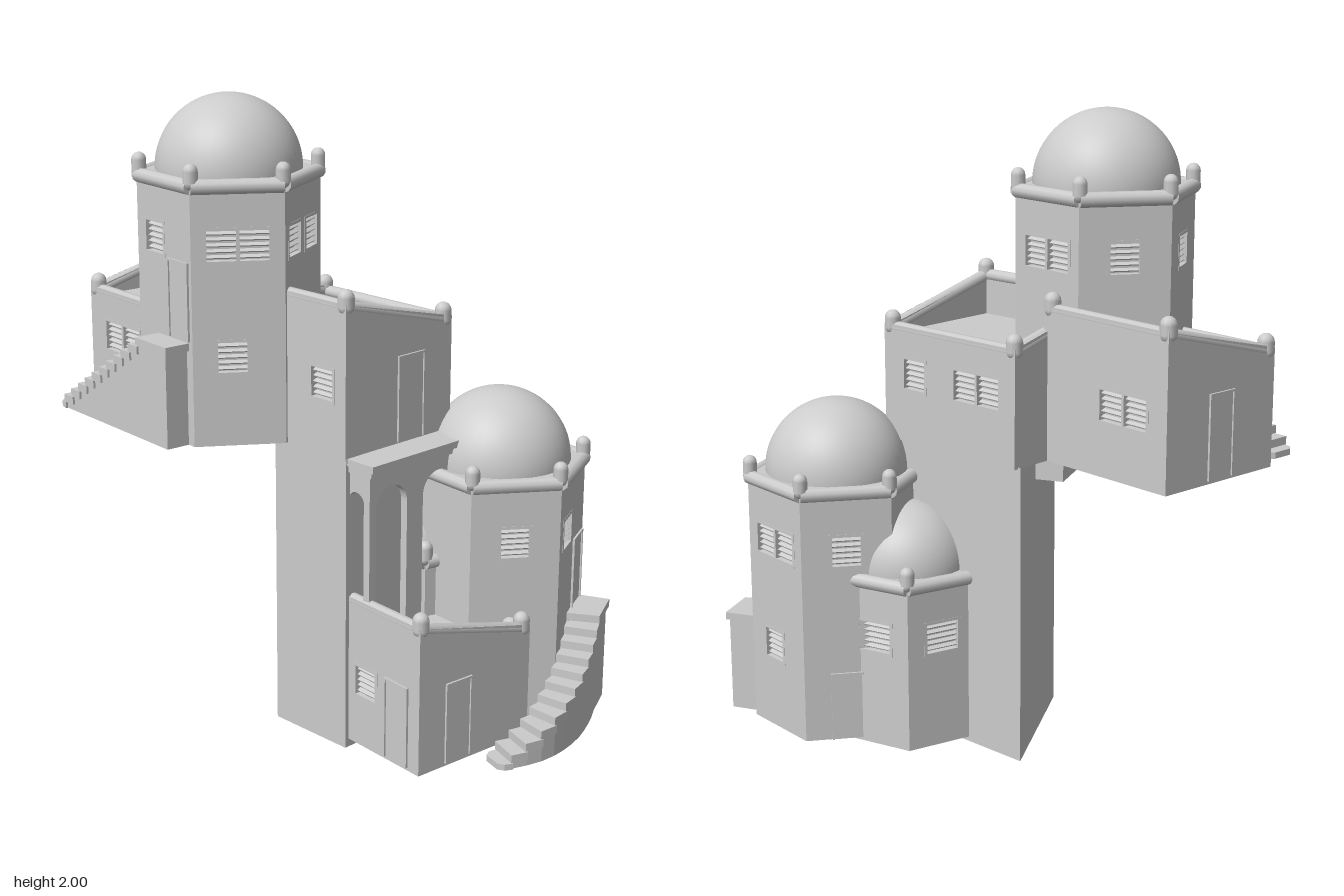
import * as THREE from 'three';

const mat = new THREE.MeshStandardMaterial({ color: 0xcccccc });
const open = new THREE.MeshStandardMaterial({ color: 0xcccccc, side: THREE.DoubleSide });
const rad = THREE.MathUtils.degToRad;
const shapeOf = points => new THREE.Shape(points.map(p => new THREE.Vector2(...p)));
const rect = (x, y, w, h) => [[x - w / 2, y - h / 2], [x + w / 2, y - h / 2], [x + w / 2, y + h / 2], [x - w / 2, y + h / 2]];
const extrude = (shape, depth) => new THREE.ExtrudeGeometry(shape, { depth, bevelEnabled: false, curveSegments: 10 });

function add(parent, name, geometry, x = 0, y = 0, z = 0, material = mat) {
  const m = new THREE.Mesh(geometry, material);
  m.name = name;
  m.position.set(x, y, z);
  parent.add(m);
  return m;
}
const box = (p, name, w, h, d, x, y, z) => add(p, name, new THREE.BoxGeometry(w, h, d), x, y, z);

function group(parent, name, x = 0, y = 0, z = 0, degrees = 0) {
  const g = new THREE.Group();
  g.name = name;
  g.position.set(x, y, z);
  g.rotation.y = rad(degrees);
  parent.add(g);
  return g;
}

// Rounded bar between two points
function rail(parent, a, b, r) {
  const from = new THREE.Vector3(...a), to = new THREE.Vector3(...b);
  const m = add(parent, 'parapetRail', new THREE.CylinderGeometry(r, r, from.distanceTo(to), 10));
  m.position.copy(from).add(to).multiplyScalar(0.5);
  m.quaternion.setFromUnitVectors(new THREE.Vector3(0, 1, 0), to.sub(from).normalize());
}
const post = (p, x, top, z, r, h) => add(p, 'parapetPost', new THREE.CapsuleGeometry(r, h - 2 * r, 4, 10), x, top - h / 2, z);

// Wall facing +z; each window [x, y, panes] is cut out and filled with a recessed, slatted frame
function panel(wall, outline, windows = [], w = 0.1, h = 0.1) {
  const shape = shapeOf(outline);
  for (const [x, y, panes = 1] of windows) {
    const full = w * panes;
    shape.holes.push(new THREE.Path(shapeOf(rect(x, y, full, h)).getPoints()));
    const g = group(wall, 'window', x, y, 0);
    const frame = shapeOf(rect(0, 0, full + 0.012, h + 0.012));
    for (let i = 0; i < panes; i++) {
      const px = (i - (panes - 1) / 2) * w;
      frame.holes.push(new THREE.Path(shapeOf(rect(px, 0, w - 0.01, h - 0.006)).getPoints()));
    }
    add(g, 'windowFrame', extrude(frame, 0.023), 0, 0, -0.022);
    add(g, 'windowBack', new THREE.PlaneGeometry(full, h), 0, 0, -0.022, open);
    for (let i = 0; i < 5; i++) {
      box(g, 'windowSlat', full, 0.004, 0.014, 0, (i - 2) * 0.018, -0.014).rotation.x = 0.5;
    }
  }
  add(wall, 'wall', new THREE.ShapeGeometry(shape), 0, 0, 0, open);
  return wall;
}

// Door standing on height y of a wall facing +z
function doorOn(wall, x, y, w = 0.1, h = 0.25) {
  const g = group(wall, 'door', x, y, 0);
  box(g, 'doorPanel', w, h, 0.004, 0, h / 2, 0);
  for (const s of [-1, 1]) box(g, 'doorJamb', 0.007, h, 0.014, s * w / 2, h / 2, 0);
  box(g, 'doorLintel', w + 0.007, 0.007, 0.014, 0, h, 0);
}

// Six-sided domed tower; windows[k] lists the windows of face k
function tower(parent, name, x, y, z, turn, R, h, domeR, windows, windowW) {
  const g = group(parent, name, x, y, z, turn);
  add(g, 'towerRoof', new THREE.CylinderGeometry(R, R, 0.035, 6), 0, h + 0.0175, 0);
  add(g, 'dome', new THREE.SphereGeometry(domeR, 40, 20, 0, Math.PI * 2, 0, Math.PI / 2), 0, h + 0.035, 0);
  const corner = (k, r) => [r * Math.sin(rad(60 * k)), h + 0.018, r * Math.cos(rad(60 * k))];
  return windows.map((list, k) => {
    rail(g, corner(k, R - 0.005), corner(k + 1, R - 0.005), 0.023);
    const [px, , pz] = corner(k, R - 0.008);
    post(g, px, h + 0.088, pz, 0.023, 0.08);
    const turned = group(g, 'towerFace', 0, 0, 0, -30 + 60 * k);
    return panel(group(turned, 'towerWall', 0, 0, R * 0.866), rect(0, h / 2, R, h), list, windowW);
  });
}

// House with its high wall on -z, walls sloping down to +z, flat roof inside
function house(parent, name, x, y, z, turn, w, d, highWindows, lowWindows) {
  const g = group(parent, name, x, y, z, turn);
  const high = 0.48, low = 0.37, t = 0.035, roof = low - 0.03;
  const wall = (wallName, px, pz, angle, len, left, right, windows) => {
    const f = group(g, wallName, px, 0, pz, angle);
    const outline = y0 => [[-len / 2, y0], [len / 2, y0], [len / 2, right], [-len / 2, left]];
    panel(f, outline(0), windows);
    add(f, 'parapet', extrude(shapeOf(outline(roof)), t - 0.001), 0, 0, -t);
    return f;
  };
  const walls = {
    high: wall('highWall', 0, -d / 2, 180, w, high, high, highWindows),
    low: wall('lowWall', 0, d / 2, 0, w, low, low, lowWindows),
    side: wall('doorWall', -w / 2, 0, -90, d, high, low),
  };
  wall('sideWall', w / 2, 0, 90, d, low, high);
  add(g, 'flatRoof', new THREE.PlaneGeometry(w, d).rotateX(-Math.PI / 2), 0, roof + 0.002, 0, open);
  // Rails and corner posts, flush with the walls
  const cx = w / 2 - 0.019, cz = d / 2 - 0.019;
  for (const s of [-1, 1]) {
    rail(g, [s * cx, high - 0.012, -cz], [s * cx, low - 0.012, cz], 0.02);
    post(g, s * cx, high + 0.043, -cz, 0.026, 0.08);
    post(g, s * cx, low + 0.043, cz, 0.026, 0.08);
  }
  rail(g, [-cx, high - 0.012, -cz], [cx, high - 0.012, -cz], 0.02);
  rail(g, [-cx, low - 0.012, cz], [cx, low - 0.012, cz], 0.02);
  return walls;
}

// Upright prism over a ground outline of [x, z] points
function prism(parent, name, outline, y0, y1) {
  const geo = extrude(shapeOf(outline.map(([x, z]) => [x, -z])), y1 - y0);
  return add(parent, name, geo.rotateX(-Math.PI / 2), 0, y0, 0);
}

// Solid staircase along a path, with a landing for its last part
function stairs(parent, name, path, width, y0, y1, steps, landing) {
  const g = group(parent, name);
  const curve = new THREE.CatmullRomCurve3(path.map(([x, z]) => new THREE.Vector3(x, 0, z)));
  const edge = (u, s) => {
    const p = curve.getPointAt(u), t = curve.getTangentAt(u);
    return [p.x - t.z * s * width / 2, p.z + t.x * s * width / 2];
  };
  const strip = (a, b, k) => [edge(a, -k), edge(b, -k), edge(b, k), edge(a, k)];
  // The first tread is longer and has a narrowed, rounded nose
  const start = 0.07, run = (1 - landing - start) / steps;
  prism(g, 'firstTread', [edge(0, -0.6), edge(0.025, -0.92), edge(start, -1), edge(start, 1), edge(0.025, 0.92), edge(0, 0.6)], y0, y0 + 0.02);
  for (let i = 0; i < steps; i++) {
    const a = start + i * run, b = a + run;
    const top = y0 + 0.02 + (y1 - y0 - 0.02) * (i + 1) / (steps + 1);
    prism(g, 'stairBody', strip(a, b, 0.87), y0, top - 0.015);
    prism(g, 'tread', strip(a - 0.012, b, 1), top - 0.026, top);
  }
  prism(g, 'landingBody', strip(1 - landing, 0.98, 0.87), y0, y1 - 0.015);
  prism(g, 'landing', strip(1 - landing - 0.012, 1, 1), y1 - 0.024, y1);
}

// Wall with round-arched openings, each given as [left, right]
function archedWall(x0, x1, y0, y1, spring, openings) {
  const shape = new THREE.Shape();
  shape.moveTo(x0, y0);
  for (const [a, b] of openings) {
    shape.lineTo(a, y0);
    shape.lineTo(a, spring);
    shape.absarc((a + b) / 2, spring, (b - a) / 2, Math.PI, 0, true);
    shape.lineTo(b, y0);
  }
  shape.lineTo(x1, y0);
  shape.lineTo(x1, y1);
  shape.lineTo(x0, y1);
  return extrude(shape, 0.025);
}

export function createModel() {
  const model = new THREE.Group();
  model.name = 'domedHouses';

  // Towers
  const row = 0.625, door = [-0.05, row], one = [[0, row]], wide = [0, row, 2], lowWindow = [-0.02, 0.28];
  const upper = tower(model, 'upperTower', -0.29, 0.95, 0.08, 0, 0.284, 0.785, 0.228,
    [[door], [wide, lowWindow], [[-0.066, row], [0.066, row]], [wide], one, one]);
  doorOn(upper[0], 0.075, 0.33, 0.1, 0.24);
  const lower = tower(model, 'lowerTower', 0.52, 0.025, -0.175, 120, 0.284, 0.795, 0.228,
    [[door], [wide, lowWindow], one, [], [], one]);
  doorOn(lower[0], 0.075, 0.33, 0.1, 0.24);
  doorOn(lower[2], 0, 0, 0.11, 0.22);
  tower(model, 'smallTower', 0.275, 0.015, -0.17, 20, 0.245, 0.52, 0.195, Array(6).fill([[0, 0.36]]), 0.12);

  // Upper side house
  const sideHouse = house(model, 'sideHouse', -0.517, 0.95, -0.12, -29, 0.515, 0.46, [[0.08, 0.22, 2]], [[-0.075, 0.22, 2]]);
  doorOn(sideHouse.side, 0, 0.01, 0.1, 0.26);

  // Middle house on a tall shaft
  const middle = house(model, 'middleHouse', 0.026, 0.95, -0.008, 155.5, 0.565, 0.46,
    [[0.18, 0.22]], [[0.12, 0.22, 2], [-0.15, 0.22]]);
  doorOn(middle.side, 0.05, 0.01, 0.11, 0.27);

  const shaft = group(model, 'shaft');
  const ring = [[-0.152, -0.327], [-0.095, 0.19], [0.19, 0.318], [0.364, -0.095]];
  ring.forEach(([x, z], i) => {
    const [x2, z2] = ring[(i + 1) % 4];
    const wall = group(shaft, 'shaftWall', (x + x2) / 2, 0, (z + z2) / 2);
    wall.rotation.y = -Math.atan2(z2 - z, x2 - x);
    panel(wall, rect(0, 0.478, Math.hypot(x2 - x, z2 - z), 0.956));
  });
  box(model, 'supportBeam', 0.09, 0.07, 0.2, -0.195, 0.915, -0.08);

  // Lower front house
  const front = house(model, 'frontHouse', 0.368, 0.028, 0.138, 151, 0.515, 0.46, [[0.01, 0.215]], []);
  doorOn(front.high, 0.155, 0.01, 0.1, 0.26);
  doorOn(front.side, -0.07, 0.01, 0.1, 0.26);

  // Balcony on arches
  const balcony = group(model, 'balcony', 0.27, 0, 0.103, 65.5);
  box(balcony, 'balconySlab', 0.425, 0.022, 0.125, -0.012, 0.944, 0.0625);
  box(balcony, 'balconyMoulding', 0.415, 0.02, 0.113, -0.012, 0.923, 0.0565);
  add(balcony, 'arcade', archedWall(-0.212, 0.19, 0.36, 0.915, 0.8, [[-0.185, -0.05], [0.02, 0.16]]), 0, 0, 0.075);
  const end = add(balcony, 'endArch', archedWall(0, 0.1, 0.36, 0.915, 0.82, [[0.01, 0.076]]), -0.187, 0, 0);
  end.rotation.y = -Math.PI / 2;

  // Staircases: straight to the upper tower, curved to the lower one
  stairs(model, 'upperStairs', [[-0.867, 0.076], [-0.58, 0.235], [-0.32, 0.38]], 0.115, 0.95, 1.275, 10, 0.25);
  stairs(model, 'lowerStairs', [[0.667, 0.315], [0.77, 0.2], [0.818, 0.06], [0.825, -0.1], [0.815, -0.2], [0.815, -0.31]],
    0.105, 0.03, 0.365, 10, 0.22);
  return model;
}
